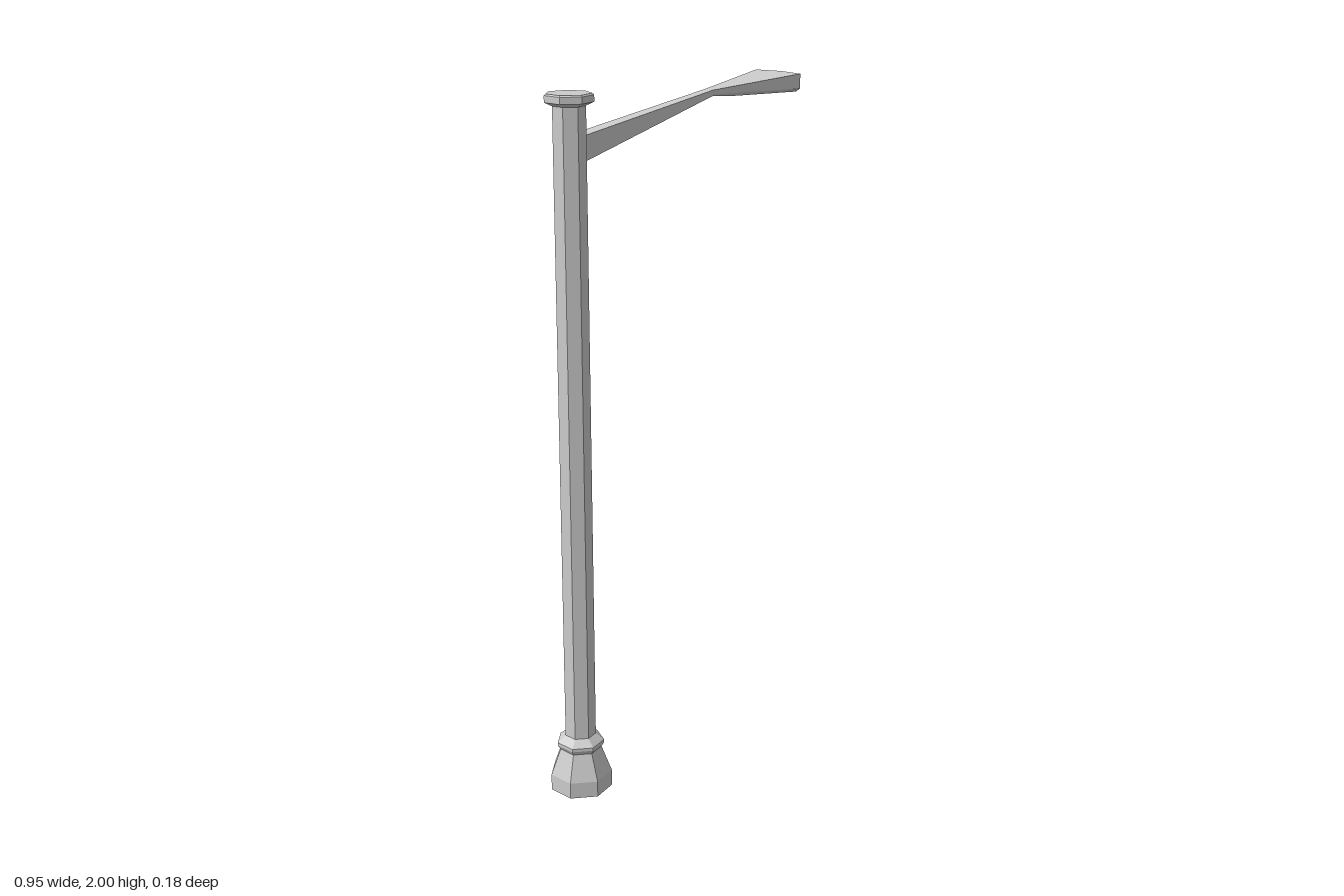
import * as THREE from 'three';

const POLE_X = -0.394;

export function createModel() {
  const group = new THREE.Group();
  const material = new THREE.MeshStandardMaterial({ color: 0xcccccc, flatShading: true });

  function add(name, geometry, x = 0) {
    const mesh = new THREE.Mesh(geometry, material);
    mesh.name = name;
    mesh.position.x = x;
    group.add(mesh);
  }

  // Seven-sided turned part, one corner pointing along the arm; profile is [radius, y] upwards
  function turned(name, profile) {
    const points = profile.map(([r, y]) => new THREE.Vector2(r, y));
    add(name, new THREE.LatheGeometry(points, 7, Math.PI / 2), POLE_X);
  }

  turned('base', [
    [0, 0], [0.0905, 0], [0.0905, 0.048], [0.061, 0.125],
    [0.069, 0.138], [0.069, 0.147], [0.045, 0.167],
  ]);
  turned('pole', [[0.045, 0.16], [0.045, 1.98]]);
  turned('cap', [[0.045, 1.968], [0.0665, 1.978], [0.0665, 1.996], [0.062, 2], [0, 2]]);

  // Loft through eight-point sections; tip pushes the middle of a section forward
  function loft(sections) {
    const position = [];
    const index = [];
    for (const { x, tip = 0, w, wb = w, top, side, bottom } of sections) {
      position.push(
        x, top, w, x + tip, top, 0, x, top, -w, x, side, -w,
        x, bottom, -wb, x + tip, bottom, 0, x, bottom, wb, x, side, w,
      );
    }
    for (let i = 0; i < sections.length - 1; i++) {
      for (let j = 0; j < 8; j++) {
        const a = i * 8 + j;
        const b = i * 8 + (j + 1) % 8;
        index.push(a, a + 8, b + 8, a, b + 8, b);
      }
    }
    // End faces, fanned from the top middle point
    const end = (sections.length - 1) * 8;
    for (let k = 2; k < 8; k++) {
      const p = (k + 0) % 8, q = (k + 1) % 8;
      if (q === 1) continue;
      index.push(1, p, q, end + 1, end + q, end + p);
    }
    index.push(1, 7, 0, end + 1, end, end + 7);
    const geometry = new THREE.BufferGeometry();
    geometry.setAttribute('position', new THREE.Float32BufferAttribute(position, 3));
    geometry.setIndex([...new Set(chunk(index))].flatMap((t) => t.split(',').map(Number)));
    const flat = geometry.toNonIndexed();
    flat.computeVertexNormals();
    return flat;
  }

  // Tapered arm rising from the pole
  add('arm', loft([
    { x: -0.37, w: 0.023, top: 1.888, side: 1.855, bottom: 1.819 },
    { x: 0.15, w: 0.016, top: 1.96, side: 1.952, bottom: 1.944 },
  ]));

  // Fan-shaped lamp head with a chamfered underside
  add('lampHead', loft([
    { x: 0.15, w: 0.016, wb: 0.014, top: 1.96, side: 1.95, bottom: 1.944 },
    { x: 0.21, w: 0.029, wb: 0.022, top: 1.965, side: 1.947, bottom: 1.938 },
    { x: 0.455, tip: 0.018, w: 0.083, wb: 0.068, top: 1.985, side: 1.943, bottom: 1.933 },
  ]));

  return group;
}

// Triangles as text keys, so repeated ones can be dropped
function chunk(index) {
  const keys = [];
  for (let i = 0; i < index.length; i += 3) keys.push(index.slice(i, i + 3).join(','));
  return keys;
}
